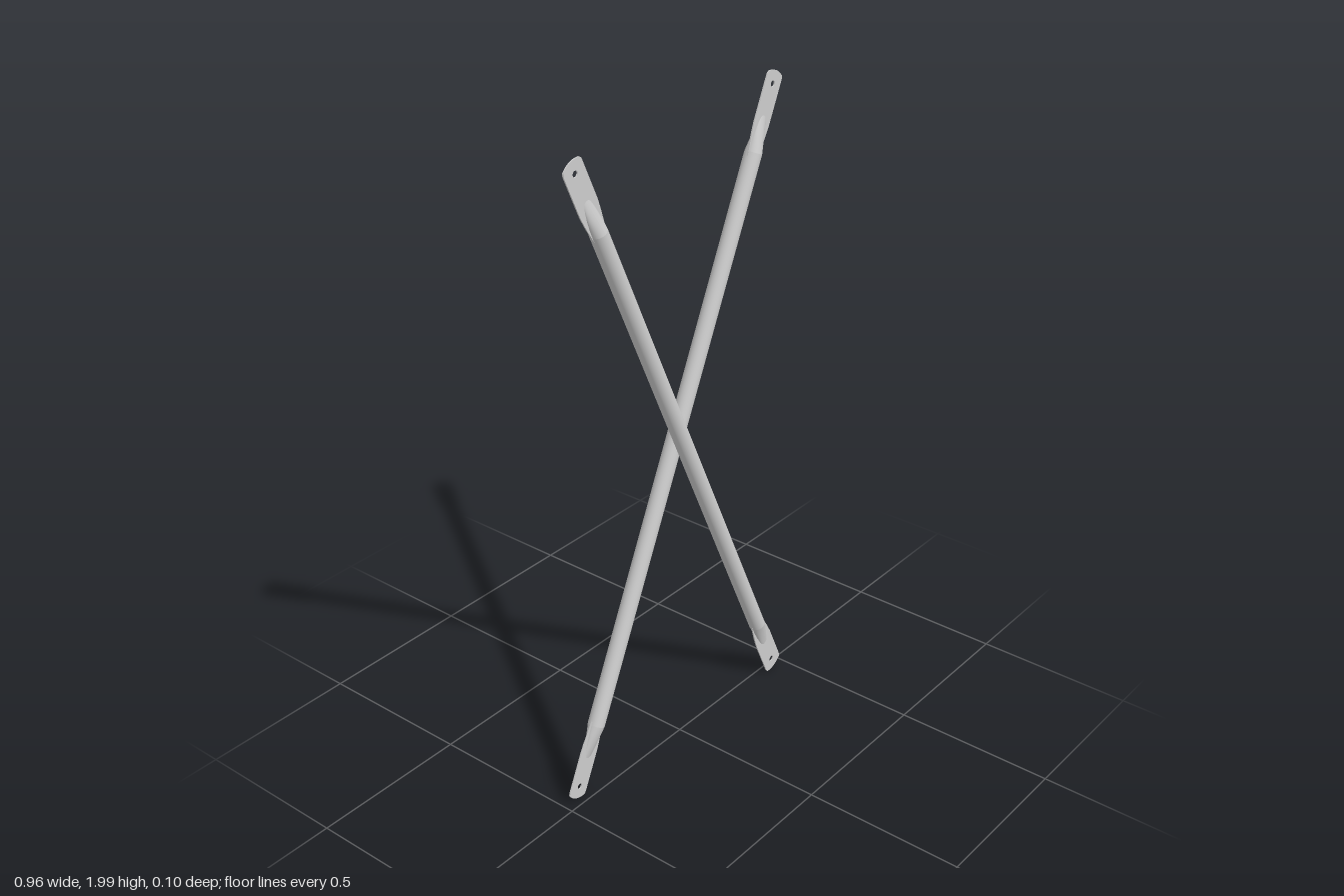
import * as THREE from 'three';

const RADIUS = 0.0255;      // tube radius
const SHAFT = 0.855;        // half length of the round part
const PINCH = 0.96;         // where the tube is fully crushed
const THICK = 0.004;        // thickness of the flat ends
const TILT = THREE.MathUtils.degToRad(24.65);

const material = new THREE.MeshStandardMaterial({ color: 0xcccccc });
const openMaterial = new THREE.MeshStandardMaterial({ color: 0xcccccc, side: THREE.DoubleSide });

function part(name, geometry, mat = material) {
  const mesh = new THREE.Mesh(geometry, mat);
  mesh.name = name;
  return mesh;
}

// Tube end squeezed from a circle to a thin, narrower edge
function crushedEnd() {
  const length = PINCH - SHAFT;
  const geometry = new THREE.CylinderGeometry(RADIUS, RADIUS, length, 32, 4, true);
  const p = geometry.attributes.position;
  for (let i = 0; i < p.count; i++) {
    const t = p.getY(i) / length + 0.5;
    p.setX(i, p.getX(i) * (1 - 0.5 * t * t));
    p.setZ(i, p.getZ(i) * THREE.MathUtils.lerp(1, 0.5 * THICK / RADIUS, t));
  }
  geometry.translate(0, (SHAFT + PINCH) / 2, 0);
  geometry.computeVertexNormals();
  return geometry;
}

// Flat flared tab with a curved tip and a bolt hole
function flatTab() {
  const w = 0.037;
  const s = new THREE.Shape();
  s.moveTo(-0.024, 0.83);
  s.lineTo(0.024, 0.83);
  s.bezierCurveTo(0.027, 0.86, 0.034, 0.89, w, 0.94);
  s.lineTo(w, 1.066);
  s.quadraticCurveTo(w, 1.077, 0.03, 1.081);
  s.quadraticCurveTo(0, 1.095, -0.03, 1.081);
  s.quadraticCurveTo(-w, 1.077, -w, 1.066);
  s.lineTo(-w, 0.94);
  s.bezierCurveTo(-0.034, 0.89, -0.027, 0.86, -0.024, 0.83);
  const hole = new THREE.Path();
  hole.absarc(0, 1.05, 0.009, 0, Math.PI * 2, true);
  s.holes.push(hole);
  const geometry = new THREE.ExtrudeGeometry(s, { depth: THICK, bevelEnabled: false, curveSegments: 12 });
  geometry.translate(0, 0, -THICK / 2);
  return geometry;
}

// One brace: round shaft with the same crushed end top and bottom
function brace(name) {
  const group = new THREE.Group();
  group.name = name;
  group.add(part('shaft', new THREE.CylinderGeometry(RADIUS, RADIUS, SHAFT * 2, 32, 1, true), openMaterial));
  const crushed = crushedEnd();
  const tab = flatTab();
  for (const [label, turn] of [['upper', 0], ['lower', Math.PI]]) {
    const end = new THREE.Group();
    end.name = label + 'End';
    end.add(part('crushedTube', crushed, openMaterial), part('boltTab', tab));
    end.rotation.z = turn;
    group.add(end);
  }
  return group;
}

export function createModel() {
  const model = new THREE.Group();
  model.name = 'crossBrace';
  // The two braces cross in the middle, touching face to face
  for (const [name, side] of [['frontBrace', 1], ['backBrace', -1]]) {
    const b = brace(name);
    b.position.set(0, 1, side * RADIUS);
    b.rotation.z = side * TILT;
    model.add(b);
  }
  return model;
}
